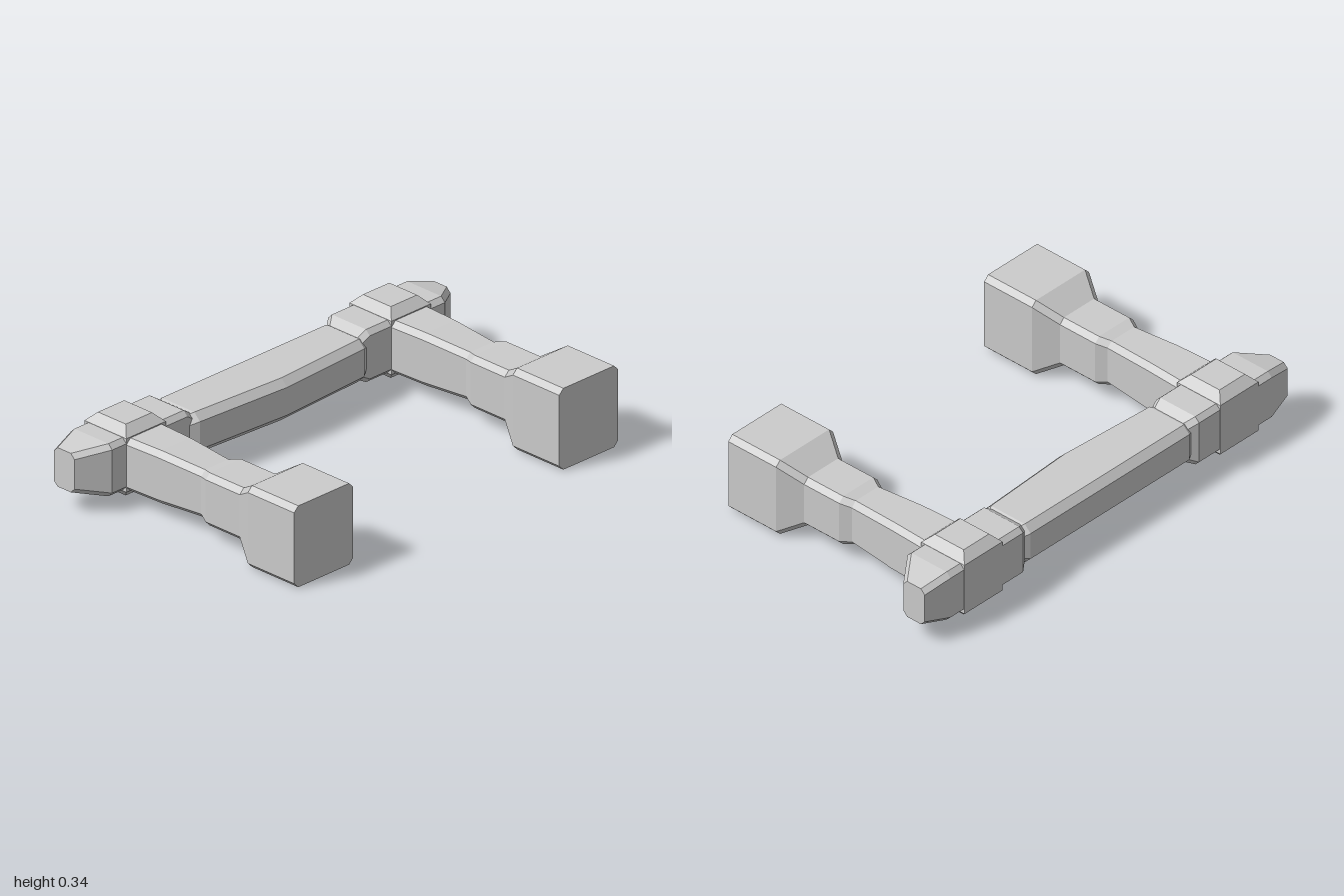
import * as THREE from 'three';

const material = new THREE.MeshStandardMaterial({ color: 0xcccccc, flatShading: true });

// Maps (along, a, b) to x, y, z; each keeps a right-handed order.
const AXES = {
  x: (t, a, b) => [t, a, b],
  y: (t, a, b) => [b, t, a],
  z: (t, a, b) => [a, b, t],
};

// Counter-clockwise rectangle with its corners cut by c.
function ring(a0, a1, b0, b1, c) {
  if (!c) return [[a0, b0], [a1, b0], [a1, b1], [a0, b1]];
  return [
    [a0 + c, b0], [a1 - c, b0], [a1, b0 + c], [a1, b1 - c],
    [a1 - c, b1], [a0 + c, b1], [a0, b1 - c], [a0, b0 + c],
  ];
}

// Skins sections [t, a0, a1, b0, b1], listed in increasing t, and caps both ends.
function loft(name, axis, chamfer, sections) {
  const rings = sections.map(([t, a0, a1, b0, b1]) =>
    ring(a0, a1, b0, b1, chamfer).map(([a, b]) => AXES[axis](t, a, b)));
  const n = rings[0].length;
  const last = (rings.length - 1) * n;
  const index = [];
  for (let r = 0; r < last; r += n) {
    for (let i = 0; i < n; i++) {
      const j = (i + 1) % n;
      index.push(r + i, r + j, r + n + j, r + i, r + n + j, r + n + i);
    }
  }
  for (let i = 1; i < n - 1; i++) {
    index.push(0, i + 1, i, last, last + i, last + i + 1);
  }
  const indexed = new THREE.BufferGeometry();
  indexed.setAttribute('position', new THREE.Float32BufferAttribute(rings.flat(2), 3));
  indexed.setIndex(index);
  const geometry = indexed.toNonIndexed();
  geometry.computeVertexNormals();
  const mesh = new THREE.Mesh(geometry, material);
  mesh.name = name;
  return mesh;
}

function createSide(name) {
  const side = new THREE.Group();
  side.name = name;
  const X = 0.705;

  // Waisted arm reaching forward, widening into a square foot
  const arm = [
    // z, half width, bottom, top
    [-0.42, 0.105, 0.06, 0.28],
    [-0.36, 0.105, 0.06, 0.28],
    [-0.2, 0.098, 0.06, 0.28],
    [0.015, 0.084, 0.07, 0.27],
    [0.06, 0.105, 0.06, 0.28],
    [0.24, 0.105, 0.06, 0.28],
    [0.335, 0.157, 0, 0.34],
    [0.58, 0.157, 0, 0.34],
  ];
  side.add(loft('armAndFoot', 'z', 0.022,
    arm.map(([z, w, y0, y1]) => [z, X - w, X + w, y0, y1])));

  // Corner block with a tapered outer tip
  side.add(loft('cornerBlock', 'x', 0.02, [
    [0.435, 0.09, 0.25, -0.545, -0.37],
    [0.485, 0.063, 0.283, -0.58, -0.36],
    [0.885, 0.063, 0.283, -0.58, -0.36],
    [1, 0.09, 0.253, -0.555, -0.445],
  ]));

  // Bevelled pad above and below the corner
  side.add(loft('cornerPad', 'y', 0, [
    [0.022, -0.545, -0.398, X - 0.07, X + 0.07],
    [0.06, -0.582, -0.36, X - 0.105, X + 0.105],
    [0.284, -0.582, -0.36, X - 0.105, X + 0.105],
    [0.32, -0.545, -0.398, X - 0.07, X + 0.07],
  ]));
  return side;
}

export function createModel() {
  const model = new THREE.Group();
  model.name = 'frame';

  // Long crossbar at the back, bowed slightly forward at the middle
  model.add(loft('crossbar', 'x', 0.03, [
    [-0.48, 0.1, 0.245, -0.55, -0.37],
    [-0.437, 0.086, 0.262, -0.574, -0.341],
    [0, 0.086, 0.262, -0.574, -0.315],
    [0.437, 0.086, 0.262, -0.574, -0.341],
    [0.48, 0.1, 0.245, -0.55, -0.37],
  ]));

  const left = createSide('leftSide');
  const right = createSide('rightSide');
  right.scale.x = -1;
  model.add(left, right);
  return model;
}
